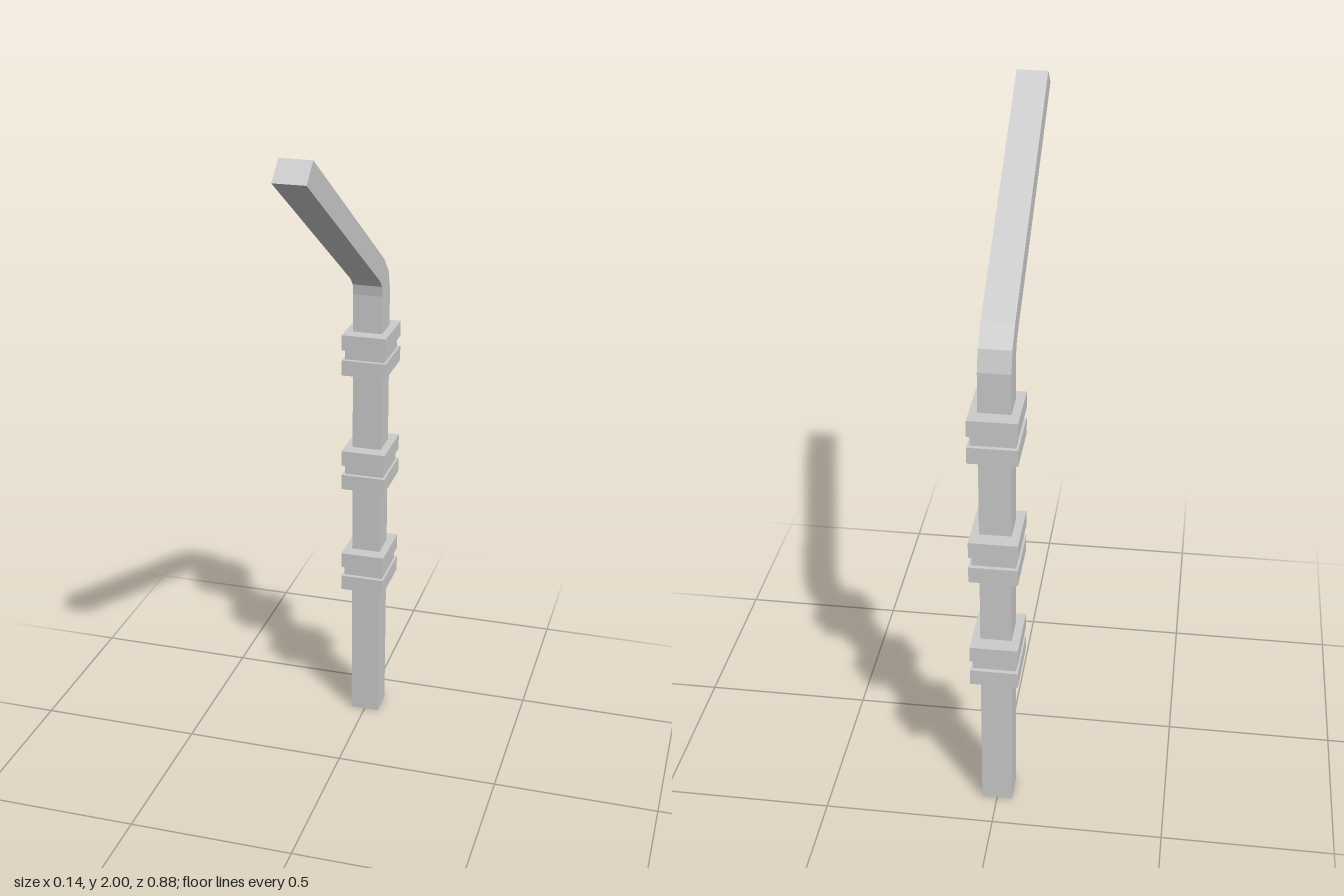
import * as THREE from 'three';

const material = new THREE.MeshStandardMaterial({ color: 0xcccccc, flatShading: true });

export function createModel() {
  const model = new THREE.Group();
  model.name = 'bentPost';

  // Square post with a bent arm: side outline as (z, y), extruded across x
  const width = 0.09;
  const outline = [
    [-0.395, 0], [-0.305, 0], [-0.305, 1.44], [-0.3, 1.472], [-0.275, 1.497],
    [0.44, 1.95], [0.383, 2], [-0.323, 1.551], [-0.376, 1.5], [-0.395, 1.44],
  ].map(([z, y]) => new THREE.Vector2(z, y));
  const postGeometry = new THREE.ExtrudeGeometry(new THREE.Shape(outline), {
    depth: width, bevelEnabled: false,
  });
  postGeometry.translate(0, 0, -width / 2).rotateY(-Math.PI / 2);
  const post = new THREE.Mesh(postGeometry, material);
  post.name = 'postAndArm';
  model.add(post);

  // Collars: two wide bands with a narrower spacer between them
  const addBand = (parent, name, w, h, d, y) => {
    const band = new THREE.Mesh(new THREE.BoxGeometry(w, h, d), material);
    band.name = name;
    band.position.y = y;
    parent.add(band);
  };
  const names = ['lowerCollar', 'middleCollar', 'upperCollar'];
  [0.528, 0.881, 1.259].forEach((y, i) => {
    const collar = new THREE.Group();
    collar.name = names[i];
    collar.position.set(0, y, -0.352);
    addBand(collar, 'topBand', 0.137, 0.048, 0.18, 0.04);
    addBand(collar, 'spacer', 0.123, 0.032, 0.154, 0);
    addBand(collar, 'bottomBand', 0.137, 0.048, 0.18, -0.04);
    model.add(collar);
  });

  return model;
}
